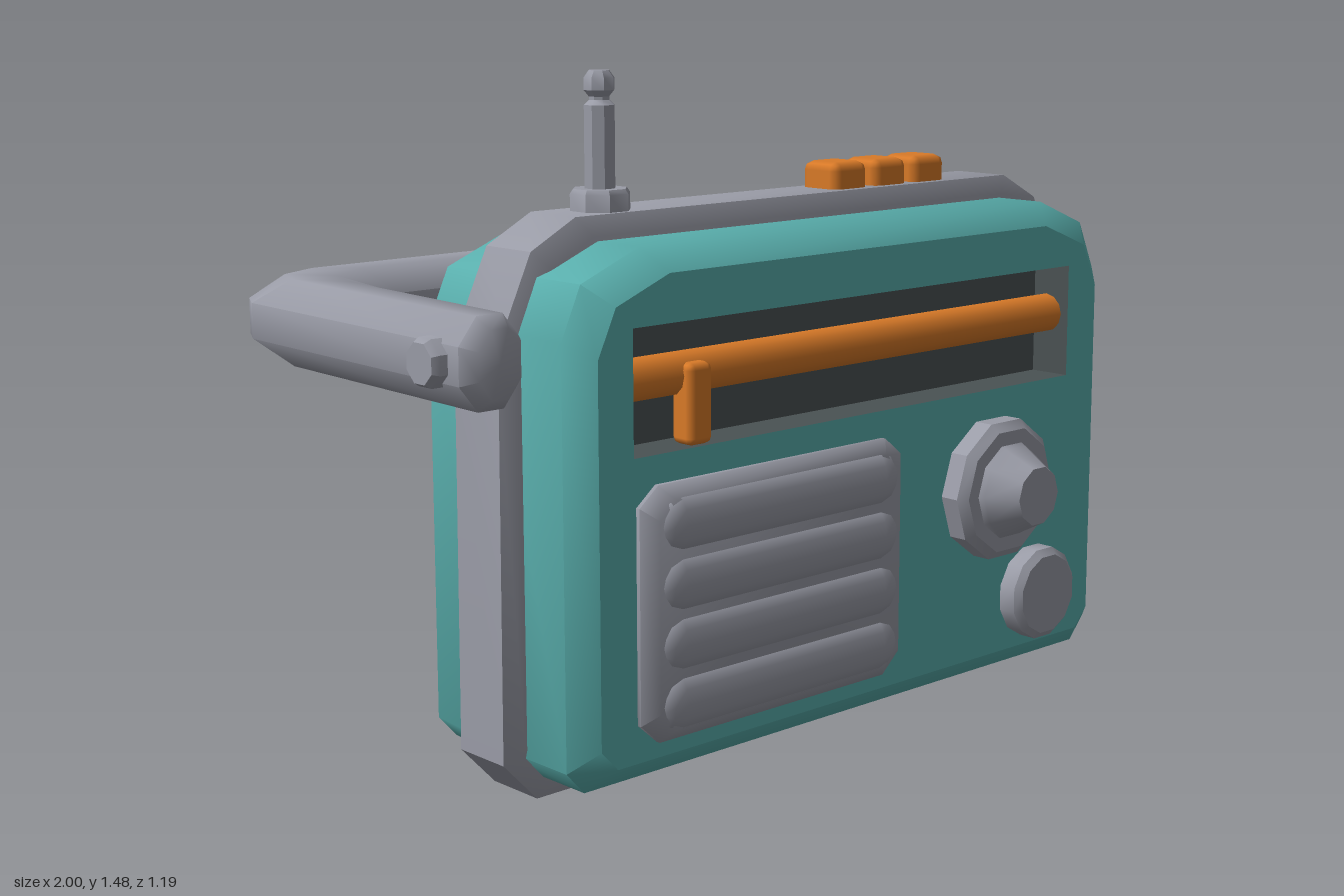
import * as THREE from 'three';
import { toCreasedNormals } from 'three/addons/utils/BufferGeometryUtils.js';
import { RoundedBoxGeometry } from 'three/addons/geometries/RoundedBoxGeometry.js';

const mat = (name, color) => {
  const m = new THREE.MeshStandardMaterial({ color });
  m.name = name;
  return m;
};

// Skin a list of rings (arrays of Vector3, counter-clockwise about the travel direction)
function loft(rings, crease, capEnd = true) {
  const n = rings[0].length, pos = [];
  const tri = (...pts) => pts.forEach(p => pos.push(p.x, p.y, p.z));
  const centre = r => r.reduce((s, p) => s.add(p), new THREE.Vector3()).divideScalar(n);
  const first = rings[0], last = rings[rings.length - 1];
  const c0 = centre(first), c1 = centre(last);
  for (let j = 0; j < n; j++) {
    const k = (j + 1) % n;
    for (let i = 0; i < rings.length - 1; i++) {
      const a = rings[i], b = rings[i + 1];
      tri(a[j], a[k], b[k]);
      tri(a[j], b[k], b[j]);
    }
    tri(c0, first[k], first[j]);
    if (capEnd) tri(c1, last[j], last[k]);
  }
  const g = new THREE.BufferGeometry();
  g.setAttribute('position', new THREE.Float32BufferAttribute(pos, 3));
  return toCreasedNormals(g, crease);
}

// Mirror the right half of an outline (bottom to top) into a closed loop
const mirrorOutline = half => [...half, ...half.slice().reverse().map(([x, y]) => [-x, y])];

// Outline pulled in by d toward the centre (cx, cy), placed at z
function ringAt(outline, z, d, cx, cy, hw, hh) {
  return outline.map(([x, y]) => new THREE.Vector3(
    cx + (x - cx) * (1 - d / hw), cy + (y - cy) * (1 - d / hh), z));
}

// Turned part from [radius, height] points
const turned = (profile, sides) => toCreasedNormals(
  new THREE.LatheGeometry(profile.map(p => new THREE.Vector2(...p)), sides, Math.PI / sides), 0.6);

export function createModel() {
  const model = new THREE.Group();
  const teal = mat('teal casing', 0x5ab0ae);
  const grey = mat('grey metal', 0x9a9ca7);
  const orange = mat('orange accent', 0xd97a28);
  const dark = mat('dark dial', 0x4a5253);

  const add = (name, geometry, material, x = 0, y = 0, z = 0) => {
    const m = new THREE.Mesh(geometry, material);
    m.name = name;
    m.position.set(x, y, z);
    model.add(m);
    return m;
  };

  // Casing with softened edges and an opening for the dial
  const casing = mirrorOutline([[0.775, 0.05], [0.82, 0.1], [0.82, 0.97], [0.77, 1.08], [0.62, 1.14]]);
  const casingRing = (z, d) => ringAt(casing, z, d, 0, 0.595, 0.82, 0.545);
  const front = casingRing(0.45, 0.05);
  add('casing', loft([casingRing(-0.09, 0.06), casingRing(-0.04, 0.01), casingRing(0.18, 0),
    casingRing(0.4, 0), front], 1.0, false), teal);
  const face = new THREE.Shape(front.map(p => new THREE.Vector2(p.x, p.y)));
  const [l, r, b, t] = [-0.68, 0.67, 0.73, 0.99];
  face.holes.push(new THREE.Path([[l, b], [l, t], [r, t], [r, b]].map(p => new THREE.Vector2(...p))));
  add('frontFace', new THREE.ShapeGeometry(face), teal, 0, 0, 0.45);

  // Recess: an inside-out box without its front
  const recess = new THREE.BoxGeometry(r - l, t - b, 0.1).scale(1, 1, -1);
  recess.setIndex(Array.from(recess.index.array).slice(0, 30));
  recess.clearGroups();
  recess.computeVertexNormals();
  add('dialRecess', recess, dark, (l + r) / 2, (b + t) / 2, 0.4);

  // Tuning rail and needle
  const rail = new THREE.CylinderGeometry(0.045, 0.045, r - l, 12).rotateZ(Math.PI / 2);
  add('tuningRail', rail, orange, (l + r) / 2, 0.873, 0.385);
  add('tuningNeedle', new RoundedBoxGeometry(0.065, 0.17, 0.06, 1, 0.015), orange, -0.495, 0.815, 0.418);

  // Band around the middle
  const band = mirrorOutline([[0.78, 0], [0.865, 0.09], [0.86, 0.88], [0.85, 0.97], [0.775, 1.13], [0.66, 1.19]]);
  const bandRing = (z, d) => ringAt(band, z, d, 0, 0.595, 0.865, 0.595);
  add('middleBand', loft([bandRing(0.09, 0.04), bandRing(0.112, 0), bandRing(0.254, 0),
    bandRing(0.275, 0.04)], 0.5), grey);

  // Carrying handle: inner and outer edge of each section as x, z, then half height
  const arm = [
    [0.84, 0.3, 0.94, 0.3, 0.07],
    [0.815, 0.27, 0.968, 0.27, 0.095],
    [0.78, -0.21, 0.947, -0.5, 0.095],
    [0.75, -0.32, 0.91, -0.57, 0.095],
    [0.63, -0.405, 0.82, -0.597, 0.095],
  ];
  const sections = [...arm, ...arm.slice().reverse().map(([a, z, c, w, h]) => [-a, z, -c, w, h])];
  const handleRings = sections.map(([xi, zi, xo, zo, h]) => {
    const ring = [];
    for (let k = 0; k < 8; k++) {
      const a = (k + 0.5) * Math.PI / 4, s = 1 / Math.cos(Math.PI / 8);
      const u = 0.5 * s * Math.cos(a), v = -h * s * Math.sin(a);
      ring.push(new THREE.Vector3((xi + xo) / 2 + (xo - xi) * u, 0.925 + v, (zi + zo) / 2 + (zo - zi) * u));
    }
    return ring;
  });
  add('handle', loft(handleRings, 0.95), grey);

  // Pivot pins through the handle ends
  for (const side of [1, -1]) {
    const pin = turned([[0, -0.2], [0.053, -0.2], [0.053, 0.035], [0.044, 0.05], [0, 0.05]], 8);
    add(side > 0 ? 'leftPivot' : 'rightPivot', pin, grey, side * 0.95, 0.925, 0.185)
      .rotation.z = -side * Math.PI / 2;
  }

  // Aerial
  add('aerial', turned([[0.065, -0.02], [0.065, 0.035], [0.058, 0.045], [0.033, 0.045], [0.033, 0.215],
    [0.022, 0.225], [0.022, 0.232], [0.033, 0.245], [0.033, 0.27], [0.022, 0.285], [0, 0.285]], 8),
  grey, -0.535, 1.19, 0.183);

  // Top buttons
  for (const x of [0.16, 0.29, 0.42]) {
    add('button', new RoundedBoxGeometry(0.107, 0.09, 0.108, 1, 0.02), orange, x, 1.205, 0.18);
  }

  // Speaker grille: bevelled plate with rounded ridges
  const grille = mirrorOutline([[0.33, 0.135], [0.38, 0.18], [0.38, 0.63], [0.33, 0.67]]);
  const grilleRing = (z, d) => ringAt(grille, z, d, 0, 0.403, 0.38, 0.268);
  add('grillePlate', loft([grilleRing(0.44, 0), grilleRing(0.46, 0), grilleRing(0.488, 0.03)], 1), grey, -0.295);
  for (let i = 0; i < 4; i++) {
    const ridge = new THREE.CapsuleGeometry(0.062, 0.58, 3, 12).rotateZ(Math.PI / 2).scale(1, 1, 0.6);
    add('grilleRidge', ridge, grey, -0.295, 0.217 + i * 0.124, 0.468);
  }

  // Tuning and volume knobs
  add('tuningKnob', turned([[0.165, -0.01], [0.165, 0.045], [0.145, 0.063], [0.112, 0.063],
    [0.105, 0.075], [0.068, 0.145], [0, 0.145]], 10), grey, 0.4, 0.505, 0.45).rotation.x = Math.PI / 2;
  add('volumeKnob', turned([[0.11, -0.01], [0.11, 0.042], [0.094, 0.056], [0, 0.056]], 12),
    grey, 0.553, 0.23, 0.45).rotation.x = Math.PI / 2;

  return model;
}
